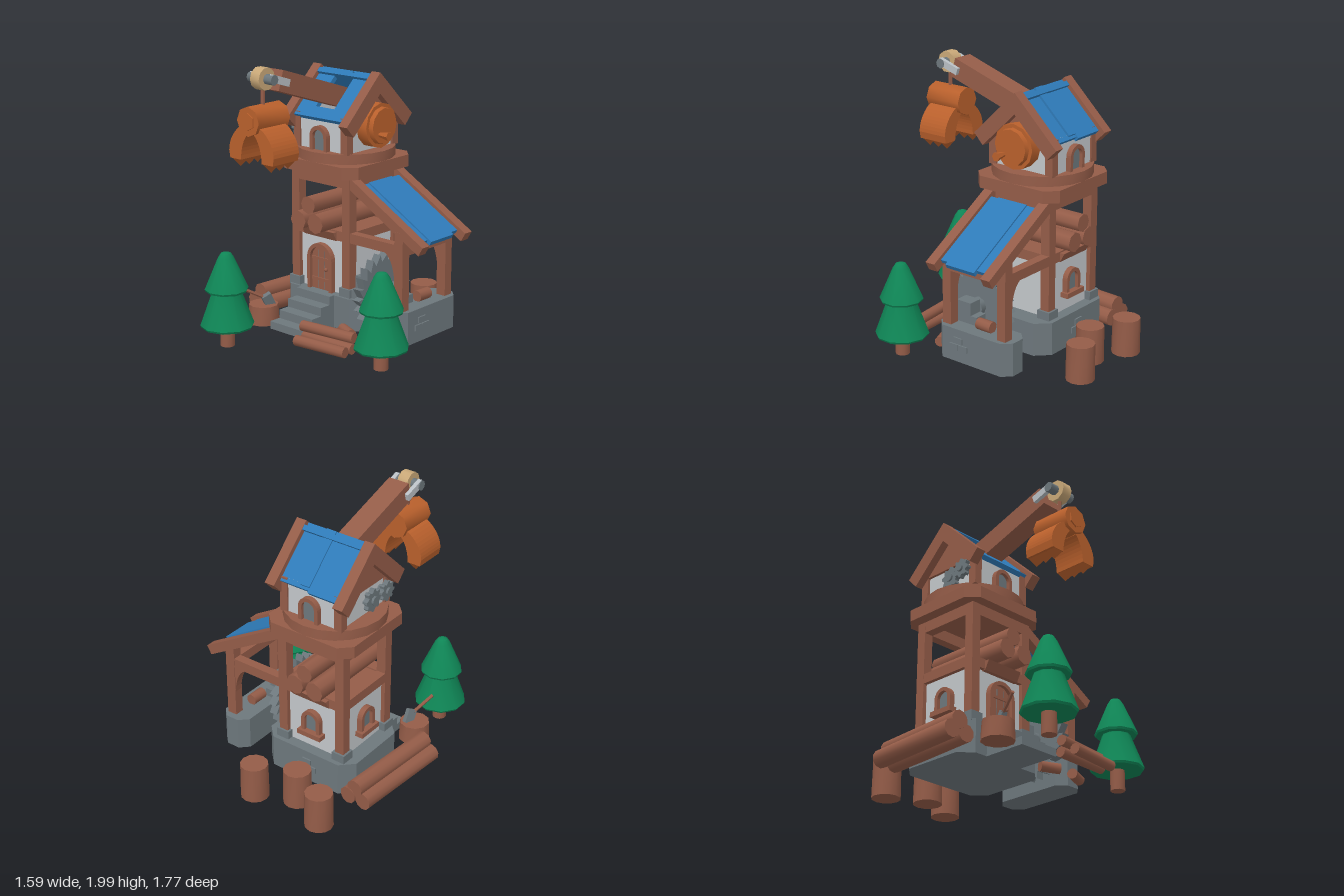
import * as THREE from 'three';
import { toCreasedNormals } from 'three/addons/utils/BufferGeometryUtils.js';

export function createModel() {
  const root = new THREE.Group();
  const mat = (name, color) => {
    const m = new THREE.MeshStandardMaterial({ color });
    m.name = name;
    return m;
  };
  const wood = mat('wood', 0x945c48), stone = mat('stone', 0x6d777c), wall = mat('plaster', 0xc3c7ca);
  const blue = mat('blueRoof', 0x2e7ab8), orange = mat('orangeMetal', 0xb9602c), green = mat('foliage', 0x0f8656);
  const tan = mat('tanWheel', 0xc9a878), steel = mat('steel', 0xb9bfc4);
  const V = (x, y, z) => new THREE.Vector3(x, y, z);

  const add = (name, geo, m, x = 0, y = 0, z = 0, parent = root) => {
    const mesh = new THREE.Mesh(geo, m);
    mesh.name = name;
    mesh.position.set(x, y, z);
    parent.add(mesh);
    return mesh;
  };
  // box given by its minimum and maximum corners
  const box = (name, m, x0, x1, y0, y1, z0, z1, parent = root) =>
    add(name, new THREE.BoxGeometry(x1 - x0, y1 - y0, z1 - z0), m, (x0 + x1) / 2, (y0 + y1) / 2, (z0 + z1) / 2, parent);
  // round bar between two points
  const bar = (name, m, a, b, r0, r1 = r0, sides = 10, parent = root) => {
    const g = new THREE.CylinderGeometry(r1, r0, a.distanceTo(b), sides);
    const mesh = add(name, toCreasedNormals(g, 0.8), m, 0, 0, 0, parent);
    mesh.position.copy(a).lerp(b, 0.5);
    mesh.quaternion.setFromUnitVectors(V(0, 1, 0), b.clone().sub(a).normalize());
    return mesh;
  };
  const poly = pts => new THREE.Shape(pts.map(p => new THREE.Vector2(p[0], p[1])));
  const extrude = (shape, depth) => new THREE.ExtrudeGeometry(shape, { depth, bevelEnabled: false, curveSegments: 8 });
  // rectangular slab with cut corners
  const slab = (name, m, cx, cz, hx, hz, c, y0, y1) => {
    const s = poly([[hx, hz - c], [hx - c, hz], [c - hx, hz], [-hx, hz - c], [-hx, c - hz], [c - hx, -hz], [hx - c, -hz], [hx, c - hz]]);
    add(name, extrude(s, y1 - y0).rotateX(-Math.PI / 2), m, cx, y0, cz);
  };
  const arch = (hw, h, S = THREE.Shape) => {
    const s = new S();
    s.moveTo(-hw, 0);
    s.lineTo(hw, 0);
    s.lineTo(hw, h - hw);
    s.absarc(0, h - hw, hw, 0, Math.PI, false);
    s.lineTo(-hw, 0);
    return s;
  };
  // arched frame with a filling, facing +z before turning
  const opening = (name, fill, hw, h, x, y, z, turn = 0) => {
    const g = new THREE.Group();
    g.name = name;
    g.position.set(x, y, z);
    g.rotation.y = turn;
    root.add(g);
    const f = arch(hw, h);
    f.holes.push(arch(hw - 0.027, h - 0.027, THREE.Path));
    add('archFrame', extrude(f, 0.04), wood, 0, 0, 0, g);
    add('archFilling', extrude(arch(hw - 0.027, h - 0.027), 0.015), fill, 0, 0, 0, g);
    return g;
  };

  const CX = -0.2, CZ = -0.245;

  // stone bases and steps
  slab('towerBase', stone, -0.185, -0.2525, 0.365, 0.31, 0.09, 0.115, 0.35);
  slab('sawBase', stone, 0.46, -0.2525, 0.11, 0.31, 0.06, 0.115, 0.35);
  for (let i = 0; i < 4; i++) box('step', stone, -0.36, -0.047, 0.115, 0.35 - i * 0.06, 0, 0.1 + i * 0.09);
  for (const [z, y] of [[-0.11, 0.2], [-0.185, 0.2], [-0.145, 0.25]])
    box('sideBrick', stone, 0.56, 0.58, y, y + 0.042, z - 0.036, z + 0.036);
  for (const [x, y] of [[-0.24, 0.2], [-0.16, 0.2], [-0.2, 0.25]])
    box('backBrick', stone, x - 0.036, x + 0.036, y, y + 0.042, -0.573, -0.55);

  // lower tower: walls, corner posts, beams
  box('lowerWall', wall, -0.44, 0.04, 0.35, 0.76, -0.485, -0.005);
  for (const sx of [-1, 1]) for (const sz of [-1, 1]) {
    const x = CX + sx * 0.235, z = CZ + sz * 0.235;
    box('towerPost', wood, x - 0.035, x + 0.035, 0.35, 1.2, z - 0.035, z + 0.035);
    box('postFoot', stone, x - 0.05, x + 0.05, 0.34, 0.41, z - 0.05, z + 0.05);
  }
  for (const [y0, y1] of [[0.74, 0.81], [1.12, 1.2]]) for (const s of [-1, 1]) {
    box('beamAcross', wood, -0.47, 0.07, y0, y1, CZ + s * 0.235 - 0.034, CZ + s * 0.235 + 0.034);
    box('beamDeep', wood, CX + s * 0.235 - 0.034, CX + s * 0.235 + 0.034, y0, y1, -0.51, 0.02);
  }
  box('storeFloor', wood, -0.45, 0.05, 0.75, 0.8, -0.49, 0);
  const ledge = poly([[-0.27, 0.735], [0.27, 0.735], [0.305, 0.8], [-0.305, 0.8]]);
  add('logLedge', extrude(ledge, 0.3).rotateY(-Math.PI / 2), wood, -0.05, 0, CZ);
  // stored logs
  bar('storedLog', wood, V(-0.28, 0.872, -0.585), V(-0.28, 0.872, 0.165), 0.07, 0.07, 8);
  bar('storedLog', wood, V(-0.122, 0.872, -0.585), V(-0.122, 0.872, 0.165), 0.07, 0.07, 8);
  bar('storedLog', wood, V(-0.205, 0.988, -0.59), V(-0.205, 0.988, 0.145), 0.064, 0.064, 8);

  // door and lower windows
  const door = opening('door', wood, 0.115, 0.345, CX, 0.345, 0);
  for (const x of [-0.03, 0.03]) box('doorGroove', stone, x - 0.002, x + 0.002, 0.01, 0.29, 0.012, 0.017, door);
  for (const y of [0.07, 0.22]) box('doorBand', wood, -0.085, 0.085, y, y + 0.02, 0.012, 0.024, door);
  add('doorKnob', new THREE.SphereGeometry(0.014, 8, 6), wood, 0.05, 0.16, 0.025, door);
  for (const [x, z, turn] of [[CX, -0.485, Math.PI], [-0.44, CZ, -Math.PI / 2]]) {
    const w = opening('lowerWindow', stone, 0.075, 0.18, x, 0.47, z, turn);
    box('windowSill', wood, -0.095, 0.095, -0.015, 0.02, 0, 0.06, w);
  }

  // lean-to over the saw
  for (const z of [-0.48, -0.015]) {
    box('leanPost', wood, 0.462, 0.535, 0.35, 0.9, z - 0.035, z + 0.035);
    box('leanBeam', wood, 0.04, 0.535, 0.74, 0.81, z - 0.033, z + 0.033);
    const b = new THREE.Shape();
    b.moveTo(0.47, 0.75);
    b.lineTo(0.35, 0.75);
    b.quadraticCurveTo(0.45, 0.72, 0.462, 0.54);
    b.lineTo(0.47, 0.54);
    add('archBrace', extrude(b, 0.06), wood, 0, 0, z - 0.03);
  }
  box('leanCrossBeam', wood, 0.465, 0.532, 0.735, 0.805, -0.49, 0);
  const lean = new THREE.Group();
  lean.name = 'leanRoof';
  lean.position.set(0.385, 1.015, 0);
  lean.rotation.z = -Math.PI / 6;
  root.add(lean);
  for (const z of [-0.48, -0.0175]) box('leanRail', wood, -0.365, 0.365, -0.07, 0, z - 0.037, z + 0.037, lean);
  box('leanPanel', blue, -0.3, 0.3, -0.05, -0.022, -0.445, -0.36, lean);
  box('leanPanelMiddle', blue, -0.3, 0.33, -0.045, -0.012, -0.36, -0.12, lean);
  box('leanPanel', blue, -0.3, 0.3, -0.05, -0.022, -0.12, -0.05, lean);

  // saw blade, hub and bearings
  const teeth = [];
  for (let i = 0; i < 22; i++) for (const [r, o] of [[0.22, 0], [0.272, 0.1]]) {
    const a = (i + o) / 22 * Math.PI * 2;
    teeth.push([Math.cos(a) * r, Math.sin(a) * r]);
  }
  add('sawBlade', extrude(poly(teeth), 0.06).rotateY(Math.PI / 2), stone, 0.232, 0.42, -0.09);
  bar('sawHub', stone, V(0.195, 0.42, -0.09), V(0.335, 0.42, -0.09), 0.065, 0.065, 8);
  bar('sawAxle', stone, V(0.1, 0.42, -0.09), V(0.42, 0.42, -0.09), 0.035, 0.035, 8);
  for (const [x0, x1] of [[0.075, 0.175], [0.352, 0.45]]) {
    box('bearing', stone, x0, x1, 0.34, 0.5, -0.15, -0.03);
    box('bearingFoot', stone, x0, x1, 0.34, 0.41, -0.2, 0.02);
  }
  bar('sawLog', wood, V(0.46, 0.385, -0.35), V(0.46, 0.385, -0.23), 0.04);

  // round platform
  slab('platformLower', wood, -0.203, CZ, 0.347, 0.345, 0.08, 1.2, 1.285);
  bar('platformUpper', wood, V(-0.203, 1.28, CZ), V(-0.203, 1.355, CZ), 0.347, 0.347, 20);

  // upper house
  const gable = poly([[-0.25, 1.35], [0.25, 1.35], [0.25, 1.57], [0, 1.8], [-0.25, 1.57]]);
  for (const x of [-0.43, 0.01]) add('gableWall', extrude(gable, 0.02).rotateY(Math.PI / 2), wall, x, 0, CZ);
  for (const z of [-0.5, -0.015]) box('upperWall', wall, -0.42, 0.02, 1.35, 1.6, z, z + 0.025);
  const peak = poly([[-0.24, 1.55], [0.24, 1.55], [0, 1.8]]);
  for (const x of [-0.45, 0.02]) add('gablePeak', extrude(peak, 0.03).rotateY(Math.PI / 2), wood, x, 0, CZ);
  for (const x of [-0.42, 0.015]) for (const z of [-0.482, -0.008])
    box('upperPost', wood, x - 0.03, x + 0.03, 1.35, 1.6, z - 0.03, z + 0.03);
  opening('upperWindow', stone, 0.078, 0.175, CX, 1.352, 0.008);
  opening('upperWindow', stone, 0.078, 0.175, CX, 1.352, -0.498, Math.PI);

  // gabled roof: rails both ways, an opening for the boom at the front
  for (const side of [0, 1]) {
    const turn = new THREE.Group(), slope = new THREE.Group();
    turn.name = side ? 'backRoof' : 'frontRoof';
    turn.position.set(CX, 1.893, CZ);
    turn.rotation.y = side * Math.PI;
    slope.rotation.x = 0.765;
    turn.add(slope);
    root.add(turn);
    for (const x of [-0.27, 0.27]) box('roofRail', wood, x - 0.038, x + 0.038, -0.105, 0, 0, 0.475, slope);
    if (side) {
      box('roofPanel', blue, -0.235, 0.235, -0.065, -0.035, 0, 0.42, slope);
      box('roofPlank', blue, -0.075, 0, -0.065, -0.02, 0, 0.4, slope);
      box('roofPlank', blue, 0, 0.235, -0.065, -0.028, 0, 0.435, slope);
    } else {
      for (const [a, b] of [[-0.235, -0.085], [0.085, 0.235]]) box('roofPanel', blue, a, b, -0.065, -0.03, 0, 0.42, slope);
      box('roofPanelTop', blue, -0.085, 0.085, -0.065, -0.03, 0, 0.04, slope);
      box('roofPanelFoot', blue, -0.085, 0.085, -0.065, -0.03, 0.33, 0.42, slope);
    }
  }

  // winch wheel with crank handle
  bar('winchWheel', orange, V(0.03, 1.53, CZ), V(0.118, 1.53, CZ), 0.157, 0.157, 12);
  bar('winchFace', orange, V(0.1, 1.53, CZ), V(0.15, 1.53, CZ), 0.135, 0.125, 12);
  bar('crankHandle', orange, V(0.14, 1.478, -0.192), V(0.235, 1.478, -0.192), 0.014, 0.032, 6);

  // gears on the other gable
  const gear = (x, y, z, r) => {
    const pts = [];
    for (let i = 0; i < 32; i++) {
      const a = i / 32 * Math.PI * 2, k = i % 4 < 2 ? r : r * 0.78;
      pts.push([Math.cos(a) * k, Math.sin(a) * k]);
    }
    add('gear', extrude(poly(pts), 0.035).rotateY(Math.PI / 2), stone, x, y, z);
    bar('gearHub', stone, V(x - 0.015, y, z), V(-0.42, y, z), r * 0.4, r * 0.4, 8);
  };
  gear(-0.478, 1.455, -0.2, 0.08);
  gear(-0.5, 1.475, -0.075, 0.07);

  // crane boom with pulley
  const boom = new THREE.Group();
  boom.name = 'boom';
  boom.position.set(CX, 1.905, 0.47);
  boom.rotation.x = -0.311;
  root.add(boom);
  box('boomBeam', wood, -0.078, 0.078, -0.07, 0.07, -0.69, 0.01, boom);
  for (const s of [-1, 1]) add('pulleyPlate', new THREE.BoxGeometry(0.03, 0.05, 0.17), steel, s * 0.09, -0.003, 0.035, boom);
  bar('pulleyAxle', stone, V(-0.312, 1.925, 0.57), V(-0.09, 1.925, 0.57), 0.035, 0.035, 8);
  bar('pulleyWheel', tan, V(-0.24, 1.925, 0.57), V(-0.16, 1.925, 0.57), 0.076, 0.076, 10);
  bar('rope', wood, V(CX, 1.7, 0.57), V(CX, 1.925, 0.57), 0.015, 0.015, 6);

  // grabber: hub, two curved jaws, teeth
  bar('grabberHub', orange, V(CX, 1.66, 0.42), V(CX, 1.66, 0.71), 0.1, 0.1, 8);
  bar('grabberCap', orange, V(CX, 1.66, 0.7), V(CX, 1.66, 0.72), 0.06, 0.06, 6);
  for (const s of [-1, 1]) {
    const p = new THREE.Shape();
    p.moveTo(s * 0.04, 1.64);
    p.lineTo(s * 0.105, 1.61);
    p.quadraticCurveTo(s * 0.2, 1.54, s * 0.205, 1.44);
    p.lineTo(s * 0.195, 1.39);
    p.lineTo(s * 0.096, 1.39);
    p.quadraticCurveTo(s * 0.09, 1.51, s * 0.03, 1.57);
    add('jaw', extrude(p, 0.235), orange, CX, 0, 0.45);
    for (let i = 0; i < 3; i++) {
      const t = new THREE.ConeGeometry(0.055, 0.06, 4).rotateY(Math.PI / 4).rotateX(Math.PI);
      add('jawTooth', t, orange, CX + s * 0.14, 1.362, 0.489 + i * 0.078);
    }
  }

  // trees
  const tier = [[0, 0.21], [0.13, 0.195], [0.178, 0.2], [0.186, 0.215], [0.1, 0.45], [0.1, 0.455], [0.143, 0.455],
    [0.15, 0.47], [0.055, 0.69], [0.035, 0.72], [0, 0.732]].map(p => new THREE.Vector2(p[0], p[1]));
  for (const [x, z] of [[0.612, 0.325], [-0.455, 0.69]]) {
    add('treeFoliage', toCreasedNormals(new THREE.LatheGeometry(tier, 10), 0.7), green, x, 0, z);
    bar('treeTrunk', wood, V(x, 0.06, z), V(x, 0.23, z), 0.05);
  }

  // stumps, with an axe in one
  for (const [x, z] of [[-0.47, -0.785], [0.075, -0.79], [-0.2, -0.67]])
    bar('stump', wood, V(x, 0.005, z), V(x, 0.265, z), 0.1, 0.097, 12);
  bar('axeStump', wood, V(-0.498, 0.115, 0.295), V(-0.498, 0.25, 0.295), 0.112, 0.105, 10);
  bar('axeHandle', wood, V(-0.465, 0.29, 0.29), V(-0.535, 0.39, 0.46), 0.012, 0.012, 6);
  const axe = box('axeHead', stone, -0.48, -0.445, 0.23, 0.33, 0.25, 0.32);
  axe.rotation.set(0.5, -0.4, 0);

  // log piles
  for (const [x, y, r] of [[-0.695, 0.177, 0.062], [-0.575, 0.177, 0.062], [-0.63, 0.255, 0.062]])
    bar('pileLog', wood, V(x + 0.005, y, -0.6), V(x - 0.05, y, 0.142), r);
  bar('frontLog', wood, V(-0.025, 0.228, 0.4), V(0.4, 0.228, 0.35), 0.037);
  bar('frontLog', wood, V(0, 0.153, 0.49), V(0.405, 0.153, 0.445), 0.037);
  bar('frontLog', wood, V(-0.02, 0.153, 0.385), V(0.4, 0.153, 0.365), 0.037);
  bar('shortLog', wood, V(0.08, 0.153, 0.11), V(0.21, 0.153, 0.165), 0.037);
  bar('shortLog', wood, V(0.335, 0.153, 0.165), V(0.47, 0.153, 0.11), 0.037);

  return root;
}
